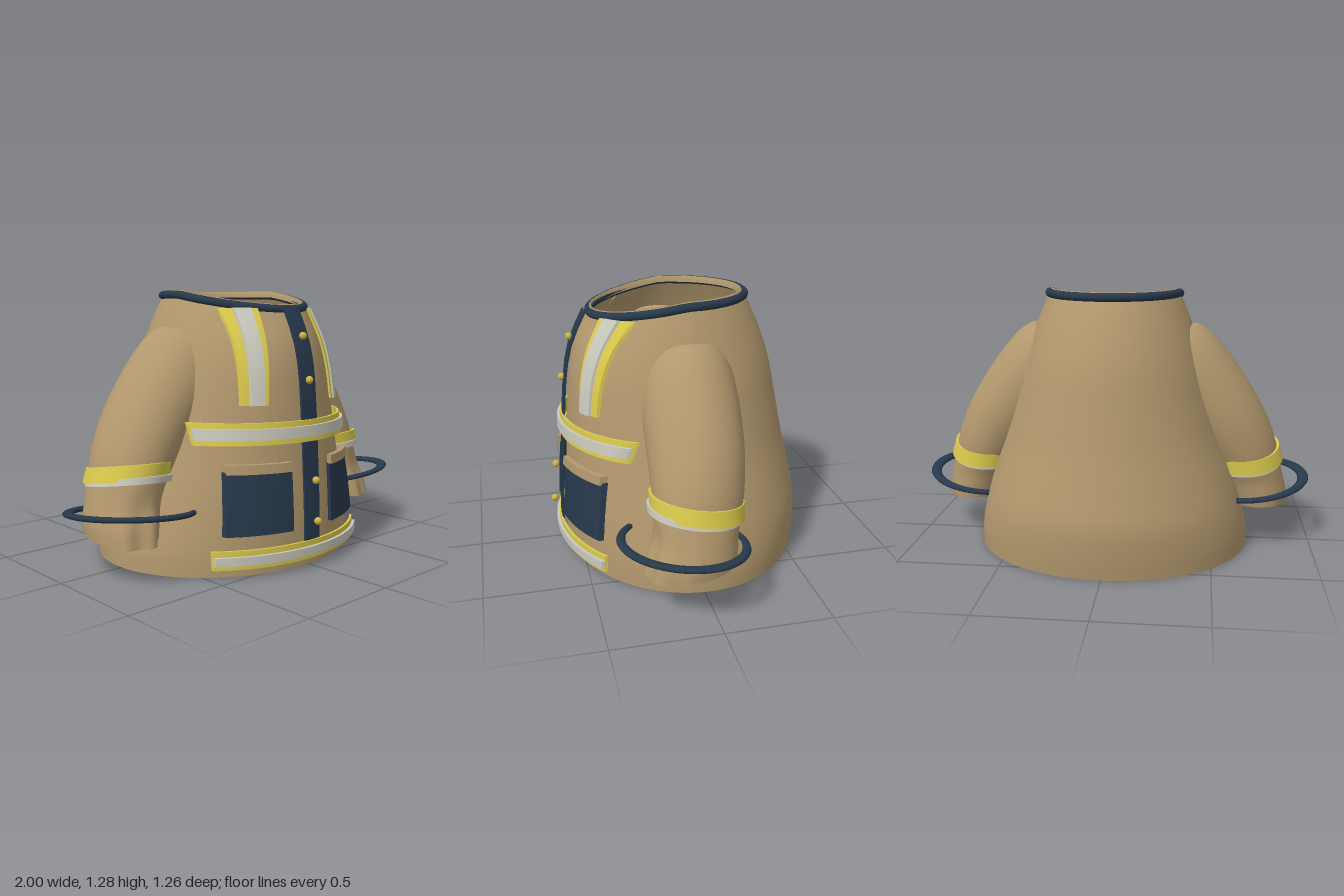
import * as THREE from 'three';
import { toCreasedNormals } from 'three/addons/utils/BufferGeometryUtils.js';

const { clamp, smoothstep } = THREE.MathUtils;

const paint = (name, color) => {
  const m = new THREE.MeshStandardMaterial({ color, side: THREE.DoubleSide });
  m.name = name;
  return m;
};

// Surface through rows of points; closed joins each row's end to its start
function loft(rows, closed, crease) {
  const n = rows[0].length, index = [];
  for (let r = 0; r < rows.length - 1; r++)
    for (let i = 0; i < (closed ? n : n - 1); i++) {
      const a = r * n + i, b = r * n + (i + 1) % n;
      index.push(a, a + n, b, b, a + n, b + n);
    }
  const g = new THREE.BufferGeometry();
  g.setAttribute('position', new THREE.Float32BufferAttribute(rows.flat(2), 3));
  g.setIndex(index);
  g.computeVertexNormals();
  return crease ? toCreasedNormals(g, crease) : g;
}

// Coat profile: height, half width, front z, back z
const PROFILE = [
  [0, 0.68, 0.555, -0.61], [0.1, 0.675, 0.557, -0.622], [0.24, 0.645, 0.555, -0.628],
  [0.38, 0.605, 0.548, -0.6], [0.55, 0.55, 0.538, -0.56], [0.75, 0.495, 0.525, -0.52],
  [0.95, 0.44, 0.505, -0.478], [1.1, 0.39, 0.475, -0.425], [1.2, 0.35, 0.44, -0.38],
  [1.27, 0.318, 0.408, -0.343],
];
const spline = new THREE.CubicInterpolant(PROFILE.map(p => p[0]), PROFILE.flatMap(p => p.slice(1)), 3);
function section(y) {
  const [w, f, b] = spline.evaluate(clamp(y, 0, 1.27));
  return { w, c: (f + b) / 2, d: (f - b) / 2 };
}
const neckDrop = z => 0.07 * clamp(z / 0.41, 0, 1);

function coatRow(y, inset = 0, lift = 0, n = 72) {
  const { w, c, d } = section(y), row = [];
  for (let i = 0; i < n; i++) {
    const a = i / n * Math.PI * 2;
    const z = c + (d - inset) * Math.sin(a);
    row.push([(w - inset) * Math.cos(a), y + lift - neckDrop(z) * smoothstep(y, 0.85, 1.27), z]);
  }
  return row;
}

// Depth of the coat front at x, y, pushed out by off
function frontZ(x, y, off) {
  const { w, c, d } = section(y + 0.07 * smoothstep(y, 0.85, 1.2));
  return c + (d + off) * Math.sqrt(Math.max(0, 1 - (x / (w + off)) ** 2));
}

// Trim panel wrapped on the coat front; top and bottom are [y, x0, x1]
function panel(top, bottom, off, thick) {
  const nu = 22, nv = 14, rows = [];
  for (let j = -1; j <= nv + 1; j++) {
    const v = clamp(j / nv, 0, 1), row = [];
    const [y, x0, x1] = top.map((t, k) => t + (bottom[k] - t) * v);
    for (let i = -1; i <= nu + 1; i++) {
      const x = x0 + (x1 - x0) * clamp(i / nu, 0, 1);
      const edge = i < 0 || j < 0 || i > nu || j > nv;
      row.push([x, y, frontZ(x, y, edge ? off - thick : off)]);
    }
    rows.push(row);
  }
  return loft(rows, false, 0.7);
}

// Sleeve cross-section: centre, tilt, half sizes, forward sag and folds
function sleeveRow([x, y, z, tilt, a, b, sag = 0, fold = 0], n = 56) {
  const row = [];
  for (let i = 0; i < n; i++) {
    const t = i / n * Math.PI * 2, front = Math.max(0, Math.sin(t));
    const k = 1 + fold * front * Math.cos(7 * t);
    const u = a * k * Math.cos(t);
    row.push([x + u * Math.cos(tilt), y + u * Math.sin(tilt) + sag * Math.sin(t), z + b * k * Math.sin(t)]);
  }
  return row;
}

// Smoothly resample the sleeve sections along the arm
function sleeve(sections, steps) {
  const size = sections[0].length;
  const curve = new THREE.CubicInterpolant(sections.map((_, i) => i), sections.flat(), size);
  const rows = [];
  for (let i = 0; i <= steps; i++)
    rows.push(sleeveRow(Array.from(curve.evaluate(i / steps * (sections.length - 1)))));
  return loft(rows, true);
}

// Flat band around the wrist
function band(x, z, yTop, yBottom, a, b, thick) {
  return loft([[yTop, 0], [yTop, thick], [yBottom, thick], [yBottom, 0]].map(([y, t]) =>
    sleeveRow([x + (0.45 - y) * 0.3, y, z, 0.06, a + t, b + t, 0.035])), true, 0.7);
}

export function createModel() {
  const tan = paint('tan cloth', 0xb2986d), navy = paint('navy trim', 0x27394c);
  const yellow = paint('yellow tape', 0xd9c84c), silver = paint('silver tape', 0xc9c8bc);
  const brass = paint('brass', 0xccb440);
  const model = new THREE.Group();
  const add = (parent, name, geometry, material) => {
    const m = new THREE.Mesh(geometry, material);
    m.name = name;
    parent.add(m);
    return m;
  };

  // Coat shell, turned in at the neck
  const rows = [];
  for (let i = 0; i <= 44; i++) rows.push(coatRow(1.27 * i / 44));
  rows.push(coatRow(1.27, 0.006, 0.01), coatRow(1.27, 0.016, 0.01), coatRow(1.27, 0.02, -0.02));
  add(model, 'coatBody', loft(rows, true), tan);

  // Collar piping
  const neck = [];
  for (let i = 0; i < 48; i++) {
    const a = i / 48 * Math.PI * 2, z = 0.027 + 0.378 * Math.sin(a);
    neck.push(new THREE.Vector3(0.322 * Math.cos(a), 1.258 - neckDrop(z), z));
  }
  add(model, 'collar', new THREE.TubeGeometry(new THREE.CatmullRomCurve3(neck, true), 120, 0.021, 10, true), navy);

  // Front placket and buttons
  add(model, 'placket', panel([1.195, -0.055, 0.045], [0.04, -0.055, 0.045], 0.028, 0.009), navy);
  for (const [y, z] of [[1.07, 0.507], [0.87, 0.55], [0.41, 0.6], [0.22, 0.615]]) {
    const b = add(model, 'button', new THREE.SphereGeometry(0.018, 20, 14), brass);
    b.position.set(-0.005, y, z);
  }

  // Waist and hem tapes
  for (const [name, y0, y1, s0, s1] of [['waist', 0.69, 0.59, 0.665, 0.615], ['hem', 0.128, 0.042, 0.103, 0.063]]) {
    add(model, name + 'Tape', panel([y0, -0.485, 0.475], [y1, -0.485, 0.475], 0.036, 0.012), yellow);
    add(model, name + 'Stripe', panel([s0, -0.485, 0.477], [s1, -0.485, 0.477], 0.05, 0.014), silver);
  }

  for (const side of [1, -1]) {
    const half = new THREE.Group();
    half.name = side > 0 ? 'leftSide' : 'rightSide';
    half.scale.x = side;
    model.add(half);

    // Chest tapes
    add(half, 'chestTape', panel([1.195, 0.17, 0.288], [0.765, 0.215, 0.318], 0.022, 0.012), yellow);
    add(half, 'chestStripe', panel([1.198, 0.2, 0.256], [0.765, 0.236, 0.29], 0.032, 0.01), silver);

    // Pocket and flap
    add(half, 'pocket', panel([0.475, 0.13, 0.41], [0.19, 0.13, 0.435], 0.036, 0.02), navy);
    add(half, 'pocketFlap', panel([0.508, 0.13, 0.41], [0.465, 0.13, 0.41], 0.046, 0.025), tan);

    // Sleeve with an open rounded inner end
    add(half, 'sleeve', sleeve([
      [0.2, 0.99, -0.01, 0, 0.083, 0.083, 0, 0],
      [0.2, 1.06, -0.01, 0, 0.084, 0.084, 0, 0],
      [0.2, 1.075, -0.01, 0.05, 0.105, 0.105, 0, 0],
      [0.205, 1.055, -0.005, 0.25, 0.15, 0.145, 0, 0],
      [0.24, 1.0, 0, 0.58, 0.2, 0.185, 0, 0],
      [0.31, 0.925, 0.005, 0.6, 0.225, 0.215, 0, 0],
      [0.43, 0.8, 0.01, 0.54, 0.213, 0.225, 0, 0],
      [0.545, 0.645, 0.015, 0.4, 0.202, 0.221, 0, 0],
      [0.62, 0.52, 0.025, 0.25, 0.188, 0.211, 0.008, 0],
      [0.667, 0.42, 0.037, 0.1, 0.17, 0.2, 0.01, 0],
      [0.7, 0.33, 0.05, 0.03, 0.163, 0.19, 0, 0.03],
      [0.725, 0.25, 0.068, 0, 0.158, 0.2, -0.012, 0.06],
      [0.735, 0.185, 0.08, 0, 0.148, 0.205, -0.022, 0.07],
    ], 80), tan);

    // Wrist tapes
    add(half, 'cuffTape', band(0.663, 0.038, 0.49, 0.42, 0.175, 0.203, 0.012), yellow);
    add(half, 'cuffStripe', band(0.655, 0.05, 0.437, 0.407, 0.176, 0.202, 0.012), silver);

    // Open loop standing off the cuff, widest on the outside
    const loop = [];
    for (let i = 0; i <= 48; i++) {
      const a = -1.93 + 4.4 * i / 48, taper = Math.sin(Math.PI * i / 48);
      const w = 0.013 + 0.015 * taper, h = 0.013, row = [];
      for (let k = 0; k < 10; k++) {
        const q = k / 10 * Math.PI * 2, r = 0.3 - w + w * Math.cos(q);
        const x = 0.7 + r * Math.cos(a), z = 0.107 + r * Math.sin(a);
        row.push([x, 0.288 + 0.09 * (x - 0.71) + 0.1 * (z - 0.1) + h * Math.sin(q), z]);
      }
      loop.push(row);
    }
    add(half, 'cuffLoop', loft(loop, true), navy);
  }
  return model;
}
